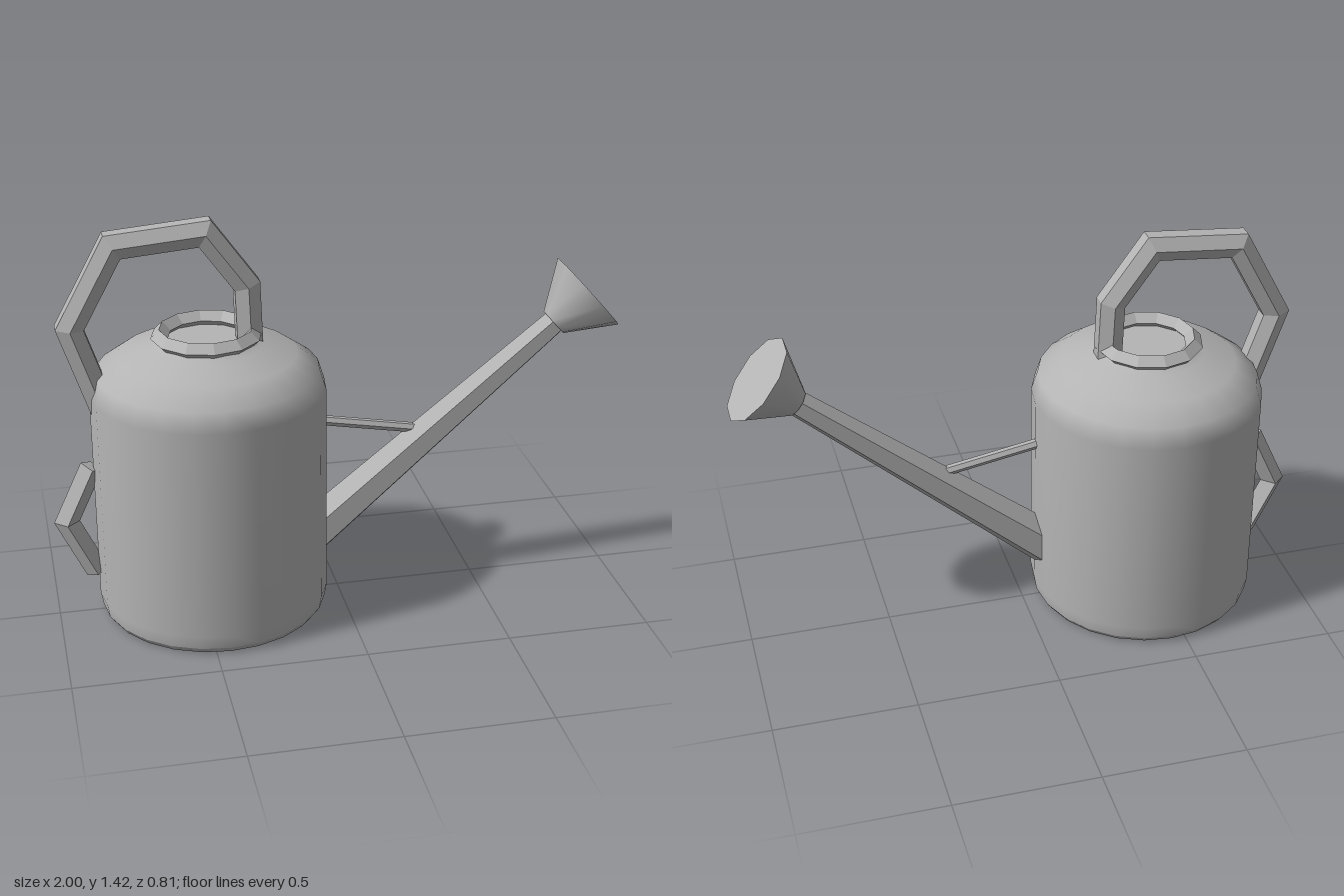
import * as THREE from 'three';

const V = (x, y) => new THREE.Vector2(x, y);

// Faceted bar along a path in the xy plane, with mitred corners and closed ends
function bar(points, radii, sides, phase) {
  const path = points.map(([x, y]) => V(x, y));
  const last = path.length - 1;
  const pos = [], index = [];
  path.forEach((p, i) => {
    const before = path[i].clone().sub(path[Math.max(i - 1, 0)]).normalize();
    const after = path[Math.min(i + 1, last)].clone().sub(path[i]).normalize();
    const t = before.clone().add(after).normalize();
    const mitre = 1 / t.dot(i < last ? after : before);
    const r = Array.isArray(radii) ? radii[i] : radii;
    for (let k = 0; k < sides; k++) {
      const a = phase + (k / sides) * Math.PI * 2;
      const off = Math.cos(a) * r * mitre;
      pos.push(p.x - t.y * off, p.y + t.x * off, Math.sin(a) * r);
    }
  });
  for (let i = 0; i < last; i++) {
    for (let k = 0; k < sides; k++) {
      const a = i * sides + k, b = i * sides + (k + 1) % sides;
      index.push(a, b, b + sides, a, b + sides, a + sides);
    }
  }
  const e = last * sides;
  for (let k = 1; k < sides - 1; k++) index.push(0, k + 1, k, e, e + k, e + k + 1);
  const g = new THREE.BufferGeometry();
  g.setAttribute('position', new THREE.Float32BufferAttribute(pos, 3));
  g.setIndex(index);
  return flat(g);
}

function flat(geometry) {
  const g = geometry.toNonIndexed();
  g.computeVertexNormals();
  return g;
}

export function createModel() {
  const group = new THREE.Group();
  const metal = new THREE.MeshStandardMaterial({ color: 0xb4b4b4 });
  metal.name = 'grey metal';
  const add = (name, geometry, x = 0, y = 0) => {
    const mesh = new THREE.Mesh(geometry, metal);
    mesh.name = name;
    mesh.position.set(x, y, 0);
    group.add(mesh);
    return mesh;
  };
  const turned = (name, profile) =>
    add(name, new THREE.LatheGeometry(profile.map(([r, y]) => V(r, y)), 24), -0.45);

  // Tank, split where its edges are sharp
  turned('tankBottom', [[0, 0], [0.38, 0]]);
  turned('tankBottomEdge', [[0.38, 0], [0.396, 0.022]]);
  turned('tankBody', [[0.396, 0.022], [0.404, 0.07], [0.404, 0.82], [0.382, 0.89],
    [0.305, 0.945], [0.19, 0.98], [0.16, 1.0]]);
  turned('tankTop', [[0.16, 0.99], [0, 0.99]]);

  // Rim around the filling hole
  const rim = new THREE.TorusGeometry(0.16, 0.03, 4, 12);
  rim.rotateX(Math.PI / 2);
  add('rim', flat(rim), -0.45, 1.01);

  // Large carrying handle
  add('topHandle', bar([[-0.805, 0.76], [-0.907, 1.07], [-0.755, 1.347], [-0.448, 1.373],
    [-0.31, 1.18], [-0.303, 0.95]], 0.05, 6, Math.PI / 6));

  // Small tipping handle at the back of the tank
  add('rearHandle', bar([[-0.86, 0.56], [-0.955, 0.357], [-0.86, 0.157]], 0.04, 4, 0));

  // Tapering spout and its brace
  add('spout', bar([[-0.12, 0.2], [0.79, 0.965]], [0.083, 0.046], 6, 0));
  add('spoutBrace', bar([[-0.08, 0.662], [0.28, 0.597]], 0.018, 6, Math.PI / 6));

  // Sprinkler head: cone open at both ends, plus its flat face
  const axis = V(0.122, 0.107), length = axis.length();
  const tilt = axis.angle() - Math.PI / 2;
  const cone = new THREE.CylinderGeometry(0.16, 0.052, length, 10);
  add('sprinklerHead', cone, 0.839, 1.008).rotation.z = tilt;

  return group;
}
